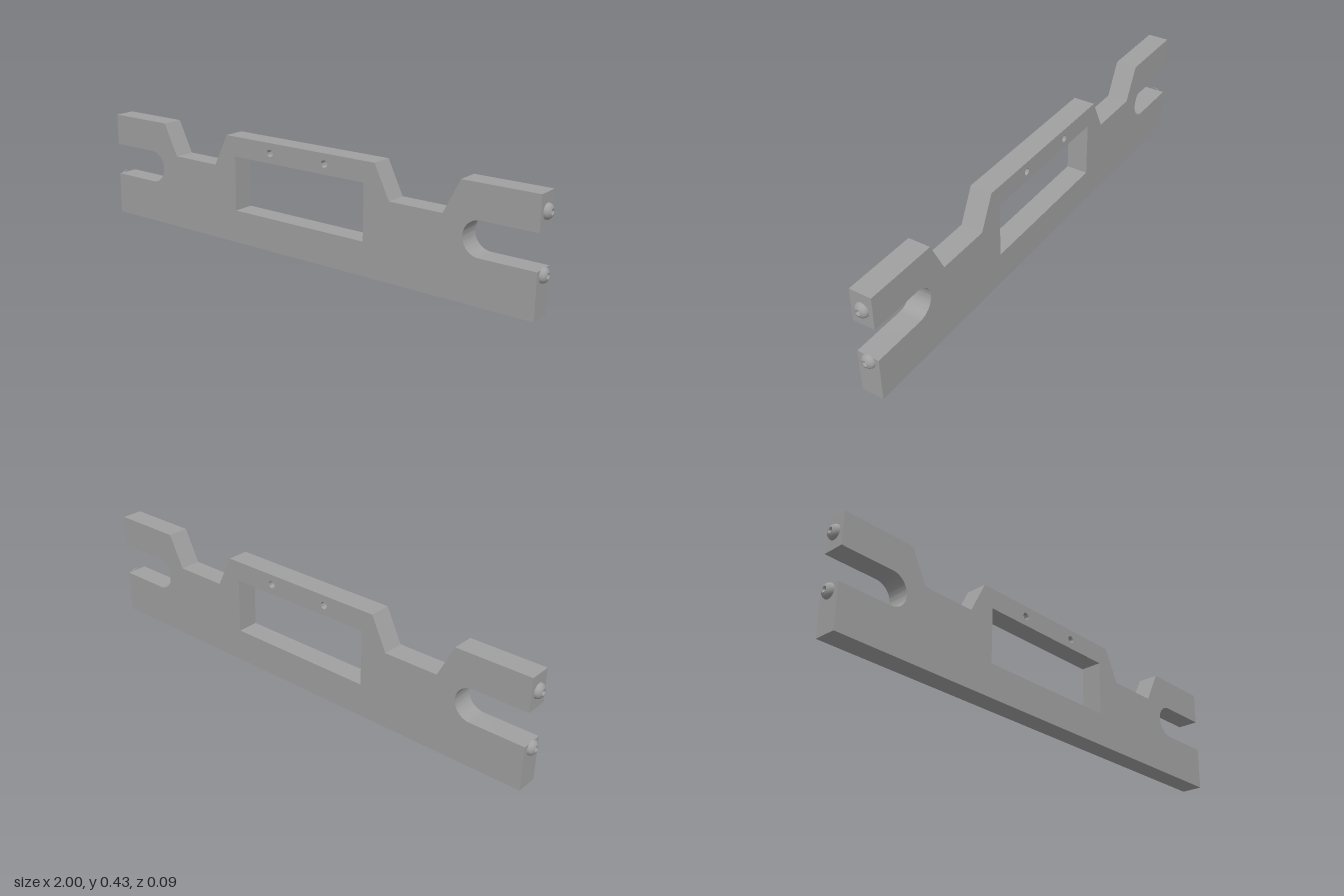
import * as THREE from 'three';
import { toCreasedNormals } from 'three/addons/utils/BufferGeometryUtils.js';

export function createModel() {
  const model = new THREE.Group();
  model.name = 'mountingBracket';
  const metal = new THREE.MeshStandardMaterial({ name: 'grey metal', color: 0xa0a0a0 });

  const halfX = 0.981, height = 0.428, depth = 0.086;
  const slotLow = 0.171, slotHigh = 0.301, slotR = (slotHigh - slotLow) / 2;
  const slotY = (slotLow + slotHigh) / 2, slotX = 0.706 + slotR;

  // Plate outline with open end slots and two tapered notches in the top edge
  const outline = new THREE.Shape();
  outline.moveTo(-halfX, 0);
  outline.lineTo(halfX, 0);
  outline.lineTo(halfX, slotLow);
  outline.lineTo(slotX, slotLow);
  outline.absarc(slotX, slotY, slotR, -Math.PI / 2, -Math.PI * 1.5, true);
  outline.lineTo(halfX, slotHigh);
  outline.lineTo(halfX, height);
  const notch = [[0.692, height], [0.628, 0.3], [0.412, 0.3], [0.349, height]];
  notch.forEach(([x, y]) => outline.lineTo(x, y));
  [...notch].reverse().forEach(([x, y]) => outline.lineTo(-x, y));
  outline.lineTo(-halfX, height);
  outline.lineTo(-halfX, slotHigh);
  outline.lineTo(-slotX, slotHigh);
  outline.absarc(-slotX, slotY, slotR, Math.PI / 2, -Math.PI / 2, true);
  outline.lineTo(-halfX, slotLow);

  // Central window
  const windowHole = new THREE.Path();
  windowHole.moveTo(-0.306, 0.131);
  windowHole.lineTo(-0.306, 0.349);
  windowHole.lineTo(0.304, 0.349);
  windowHole.lineTo(0.304, 0.131);
  windowHole.closePath();
  outline.holes.push(windowHole);

  // Two small drilled holes above the window
  for (const x of [-0.129, 0.128]) {
    outline.holes.push(new THREE.Path().absarc(x, 0.388, 0.014, 0, Math.PI * 2, true));
  }

  const plateGeo = new THREE.ExtrudeGeometry(outline, { depth, bevelEnabled: false, curveSegments: 16 });
  plateGeo.translate(0, 0, -depth / 2);
  const plate = new THREE.Mesh(toCreasedNormals(plateGeo, 0.6), metal);
  plate.name = 'plate';
  model.add(plate);

  // Domed end studs with a conical dimple
  const lathe = (pts) => new THREE.LatheGeometry(pts.map(([r, y]) => new THREE.Vector2(r, y)), 32);
  const dome = lathe([[0.028, 0], [0.027, 0.006], [0.0235, 0.012], [0.018, 0.0165], [0.011, 0.019]]);
  const dimple = lathe([[0.011, 0.019], [0, 0.01]]);
  for (const side of [-1, 1]) {
    for (const y of [0.15, 0.364]) {
      const stud = new THREE.Group();
      stud.name = side > 0 ? 'leftStud' : 'rightStud';
      const domeMesh = new THREE.Mesh(dome, metal);
      domeMesh.name = 'studDome';
      const dimpleMesh = new THREE.Mesh(dimple, metal);
      dimpleMesh.name = 'studDimple';
      stud.add(domeMesh, dimpleMesh);
      stud.position.set(side * halfX, y, 0);
      stud.rotation.z = -side * Math.PI / 2;
      model.add(stud);
    }
  }
  return model;
}
